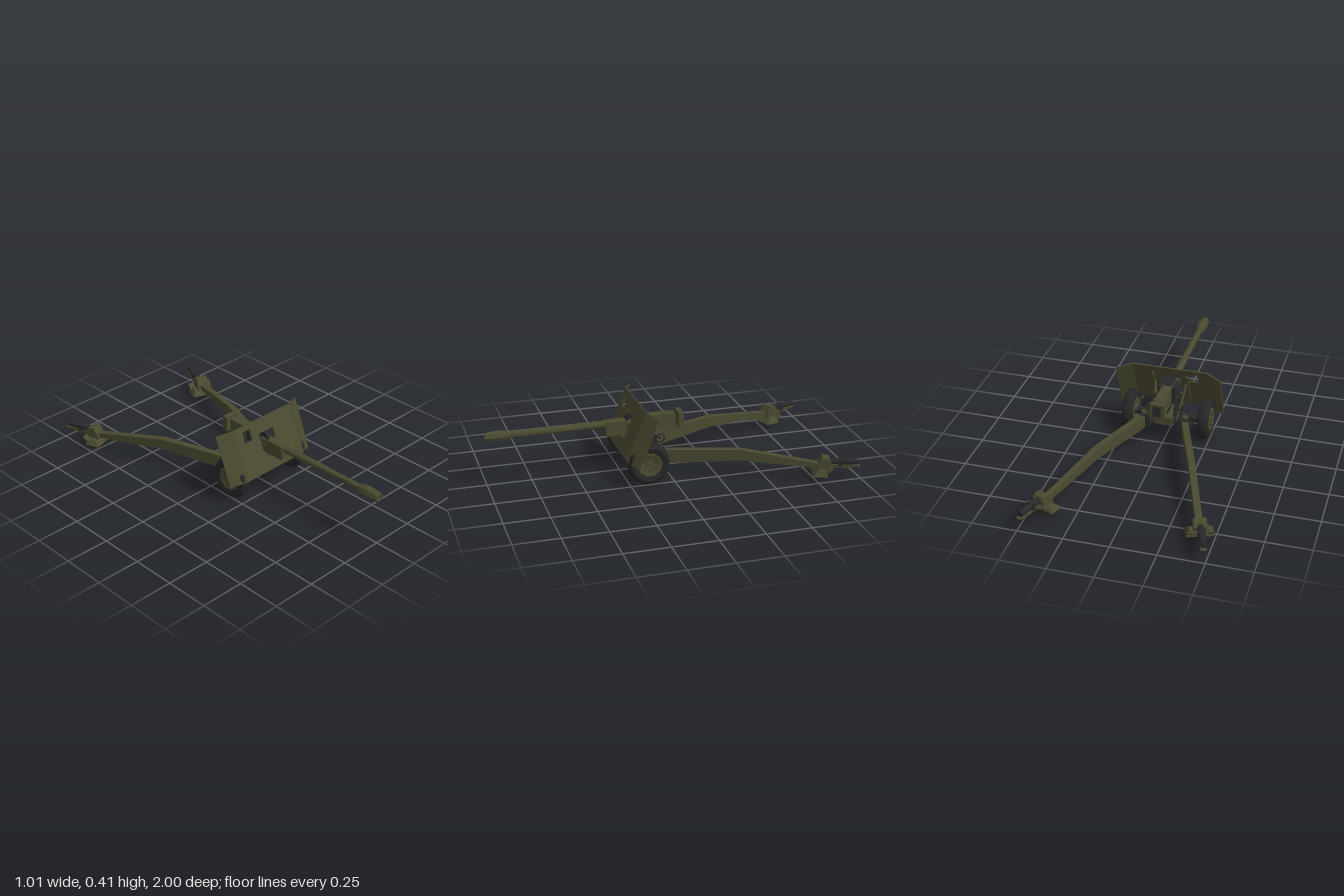
import * as THREE from 'three';
import { toCreasedNormals } from 'three/addons/utils/BufferGeometryUtils.js';

export function createModel() {
  const root = new THREE.Group();
  root.name = 'fieldGun';
  const mat = (name, color) => {
    const m = new THREE.MeshStandardMaterial({ color });
    m.name = name;
    return m;
  };
  const olive = mat('olivePaint', 0x4a4930);
  const steel = mat('darkSteel', 0x2a2a2c);
  const rubber = mat('tyreRubber', 0x262626);

  const add = (parent, name, geo, m, x = 0, y = 0, z = 0) => {
    const mesh = new THREE.Mesh(geo, m);
    mesh.name = name;
    mesh.position.set(x, y, z);
    parent.add(mesh);
    return mesh;
  };
  const group = (name, parent = root) => {
    const g = new THREE.Group();
    g.name = name;
    parent.add(g);
    return g;
  };
  const box = (parent, name, m, w, h, d, x, y, z) =>
    add(parent, name, new THREE.BoxGeometry(w, h, d), m, x, y, z);
  // Side outline in (z, y), extruded across x
  const prism = (pts, w) => {
    const shape = new THREE.Shape(pts.map(p => new THREE.Vector2(...p)));
    return new THREE.ExtrudeGeometry(shape, { depth: w, bevelEnabled: false })
      .translate(0, 0, -w / 2).rotateY(-Math.PI / 2);
  };
  // Turned part: profile of (radius, distance along axis)
  const turned = (pts, sides) => toCreasedNormals(
    new THREE.LatheGeometry(pts.map(p => new THREE.Vector2(...p)), sides), 0.6);
  const bar = (parent, name, m, a, b, r, sides = 8) => {
    const p = new THREE.Vector3(...a), q = new THREE.Vector3(...b), d = q.clone().sub(p);
    const mesh = add(parent, name, new THREE.CylinderGeometry(r, r, d.length(), sides), m);
    mesh.position.copy(p).add(q).multiplyScalar(0.5);
    mesh.quaternion.setFromUnitVectors(new THREE.Vector3(0, 1, 0), d.normalize());
  };

  // Barrel and muzzle brake, turned along z
  const gun = group('gun');
  add(gun, 'barrel', turned([[0, -0.06], [0.03, -0.06], [0.03, 0.2], [0.024, 0.22],
    [0.022, 0.34], [0.018, 0.87]], 12).rotateX(Math.PI / 2), olive, 0, 0.285, 0);
  add(gun, 'muzzleBrake', turned([[0.018, 0.855], [0.026, 0.87], [0.031, 0.905], [0.031, 0.95],
    [0.025, 0.999], [0.014, 1], [0.014, 0.97], [0, 0.97]], 8).rotateX(Math.PI / 2),
    olive, 0, 0.285, 0);

  // Breech, recoil cradle and sight gear
  box(gun, 'breechHousing', olive, 0.06, 0.075, 0.19, 0, 0.28, 0.025);
  box(gun, 'breechBlock', olive, 0.085, 0.09, 0.03, 0, 0.278, -0.101);
  box(gun, 'breechWedge', steel, 0.045, 0.06, 0.006, 0, 0.28, -0.117);
  box(gun, 'cradle', olive, 0.06, 0.045, 0.4, 0, 0.245, 0.13);
  add(gun, 'cradleFront', prism([[0.22, 0.225], [0.325, 0.225], [0.33, 0.24], [0.33, 0.303],
    [0.22, 0.303]], 0.06), olive);
  add(gun, 'cradleHood', prism([[0.1, 0.3], [0.22, 0.3], [0.2, 0.335], [0.12, 0.335]], 0.04), steel);
  box(gun, 'sightBox', steel, 0.024, 0.1, 0.09, -0.043, 0.27, 0.13);
  box(gun, 'trunnionBox', steel, 0.02, 0.06, 0.08, 0.036, 0.29, 0.12);
  bar(gun, 'trunnion', steel, [-0.08, 0.25, 0.1], [0.08, 0.25, 0.1], 0.015);

  // Angled shield with sight window and gun opening
  const shield = group('shield');
  shield.position.set(0, 0.137, 0.265);
  shield.rotation.x = -0.386;
  const H = 0.298, T = 0.008;
  const rect = (P, x0, x1, y0, y1) => {
    const u = y => (y - 0.137) / 0.926;
    return new P([[x0, u(y0)], [x1, u(y0)], [x1, u(y1)], [x0, u(y1)]]
      .map(p => new THREE.Vector2(...p)));
  };
  const plate = rect(THREE.Shape, -0.217, 0.213, 0.137, 0.413);
  plate.holes.push(rect(THREE.Path, -0.165, -0.11, 0.325, 0.385));
  plate.holes.push(rect(THREE.Path, -0.058, 0.052, 0.212, 0.34));
  add(shield, 'shieldPlate', new THREE.ExtrudeGeometry(plate, { depth: T, bevelEnabled: false }),
    olive, 0, 0, -T);
  for (const s of [-1, 1]) {
    const wing = box(shield, 'shieldWing', olive, 0.104, H, T, s * 0.26 - 0.002, H / 2, -0.027);
    wing.rotation.y = s * 0.49;
    bar(root, 'shieldStrut', olive, [s * 0.07, 0.13, 0.06], [s * 0.09, 0.3, 0.19], 0.008, 6);
    box(shield, 'shieldRib', olive, 0.012, 0.22, 0.014, s * 0.1, 0.14, -0.014);
  }

  // Carriage: axle, saddle and elevating gear
  const carriage = group('carriage');
  bar(carriage, 'axle', steel, [-0.2, 0.113, 0.14], [0.2, 0.113, 0.14], 0.023, 8);
  box(carriage, 'lowerBeam', steel, 0.32, 0.022, 0.05, 0.01, 0.081, 0.12);
  box(carriage, 'frontBracket', olive, 0.05, 0.045, 0.06, -0.002, 0.118, 0.18);
  box(carriage, 'saddle', olive, 0.11, 0.05, 0.13, 0, 0.135, 0.09);
  box(carriage, 'pedestal', steel, 0.03, 0.1, 0.08, 0, 0.195, 0.11);
  for (const s of [-1, 1]) {
    add(carriage, 'saddleCheek', prism([[0.03, 0.13], [0.16, 0.13], [0.13, 0.265], [0.08, 0.265]],
      0.012), steel, s * 0.057);
    box(carriage, 'trailHinge', steel, 0.06, 0.075, 0.09, s * 0.11, 0.12, 0.065);
    bar(carriage, 'hingePin', olive, [s * 0.12, 0.07, 0.05], [s * 0.12, 0.17, 0.05], 0.016);
    bar(carriage, 'handwheelShaft', steel, [s * 0.05, 0.21, 0.06], [s * 0.1, 0.21, 0.04], 0.006, 6);
    const handwheel = add(carriage, 'handwheel', new THREE.TorusGeometry(0.024, 0.004, 5, 12),
      steel, s * 0.1, 0.21, 0.04);
    handwheel.rotation.y = Math.PI / 2;
  }

  // Wheels: tyre, dished rims and hubs
  for (const s of [-1, 1]) {
    const wheel = group('wheel');
    wheel.position.set(s * 0.222, 0.118, 0.142);
    wheel.rotation.z = -s * Math.PI / 2;
    add(wheel, 'tyre', turned([[0.065, -0.025], [0.095, -0.033], [0.109, -0.028], [0.118, -0.014],
      [0.118, 0.014], [0.109, 0.028], [0.095, 0.033], [0.065, 0.025]], 14), rubber);
    add(wheel, 'rim', turned([[0, -0.022], [0.05, -0.022], [0.07, -0.03], [0.07, 0.03],
      [0.062, 0.032], [0.05, 0.026], [0, 0.026]], 10), olive);
    add(wheel, 'hub', new THREE.CylinderGeometry(0.02, 0.024, 0.07, 8), olive);
    for (let i = 0; i < 6; i++) {
      const a = i * Math.PI / 3;
      add(wheel, 'wheelBolt', new THREE.CylinderGeometry(0.004, 0.004, 0.006, 6), steel,
        0.037 * Math.cos(a), 0.028, 0.037 * Math.sin(a));
    }
  }

  // Split trails with spades and handspikes
  for (const s of [-1, 1]) {
    const trail = group('trail');
    trail.position.set(s * 0.122, 0, 0.035);
    trail.rotation.y = -s * 0.343;
    add(trail, 'trailBeam', prism([[0, 0.078], [-0.06, 0.076], [-0.436, 0.1], [-0.88, 0.06],
      [-0.88, 0.088], [-0.436, 0.161], [-0.3, 0.16], [0, 0.152]], 0.037), olive);
    // Flared spade foot, narrower towards the top
    const foot = new THREE.BoxGeometry(0.15, 0.032, 0.085);
    const p = foot.attributes.position;
    for (let i = 0; i < p.count; i++) {
      if (p.getY(i) > 0) p.setXYZ(i, p.getX(i) * 0.72, p.getY(i), p.getZ(i) * 0.5 - 0.012);
    }
    foot.computeVertexNormals();
    add(trail, 'spadeFoot', foot, olive, 0, 0.046, -0.875);
    add(trail, 'spadeBlock', prism([[-0.85, 0.055], [-0.93, 0.055], [-0.935, 0.1], [-0.92, 0.122],
      [-0.885, 0.125], [-0.865, 0.095]], 0.07), olive);
    add(trail, 'spadeBlade', prism([[-0.9, 0.05], [-0.935, 0.078], [-0.942, 0.072],
      [-0.915, 0.046]], 0.14), olive);
    add(trail, 'towingTongue', prism([[-0.92, 0.06], [-1.02, 0.066], [-1.095, 0.078],
      [-1.02, 0.086], [-0.92, 0.086]], 0.03), olive);
    bar(trail, 'handspike', steel, [0, 0.098, -0.92], [0, 0.1, -1.08], 0.018, 8);
    box(trail, 'handspikeClamp', steel, 0.044, 0.04, 0.02, 0, 0.095, -0.985);
  }
  return root;
}
